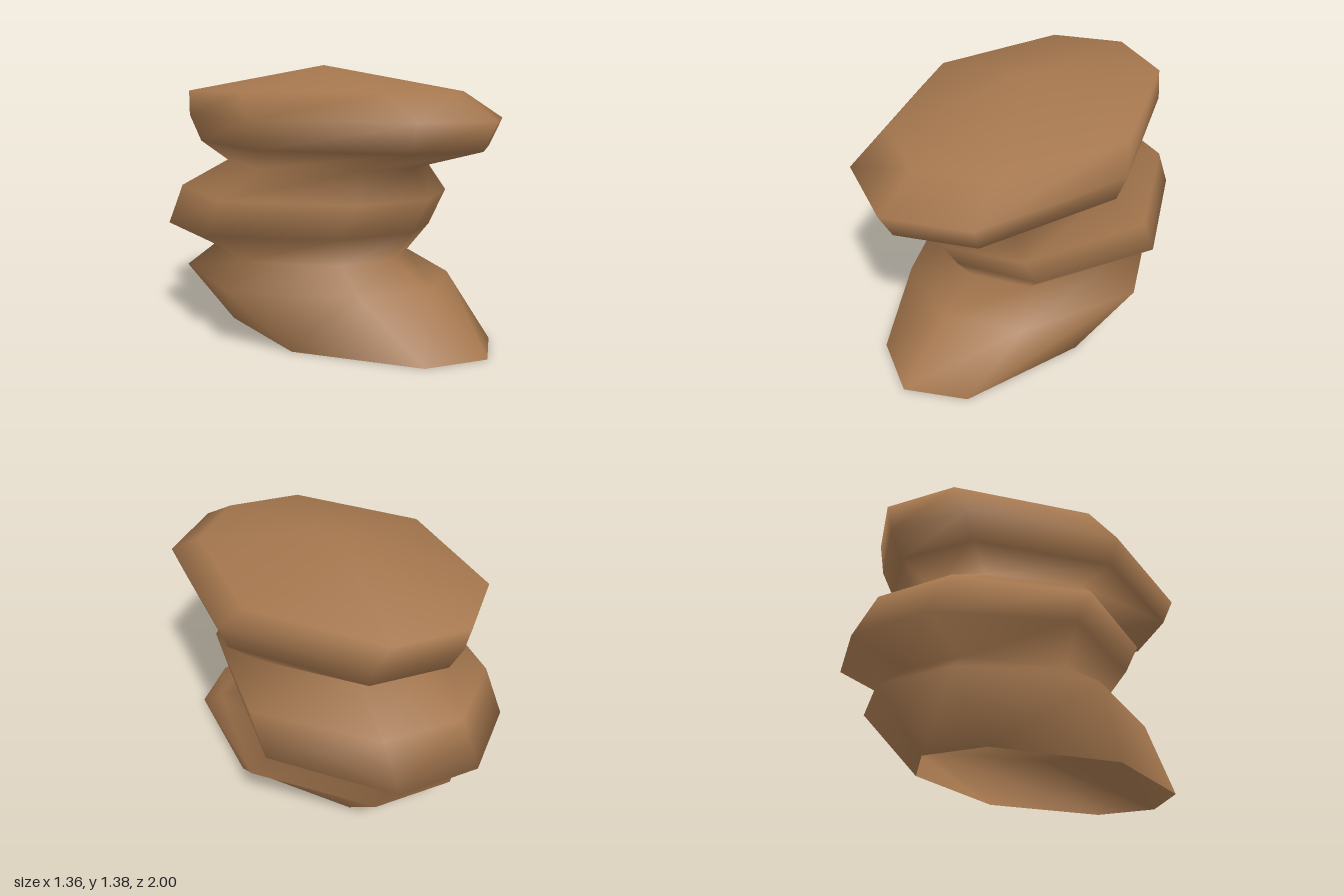
import * as THREE from 'three';

// Rings from the ground up: height, half width, front z, back z
const RINGS = [
  [0.0, 0.51, 0.98, -0.59],
  [0.285, 0.67, 0.66, -0.85],
  [0.4, 0.5, 0.43, -0.7],
  [0.52, 0.682, 0.54, -1.0],
  [0.73, 0.675, 0.64, -0.88],
  [0.88, 0.5, 0.55, -0.58],
  [0.98, 0.62, 0.93, -0.77],
  [1.12, 0.67, 1.0, -0.84],
  [1.25, 0.6, 0.78, -0.87],
];

// Eight-sided unit outline (x, z), counter-clockwise seen from above
const OUTLINE = [
  [0, 1], [0.58, 0.8], [1, 0], [0.58, -0.8],
  [0, -1], [-0.58, -0.8], [-1, 0], [-0.58, 0.8],
];

export function createModel() {
  const stone = new THREE.MeshStandardMaterial({ color: 0xa5774e, side: THREE.DoubleSide });
  stone.name = 'brown stone';

  const n = OUTLINE.length;
  const positions = [];
  const indices = [];
  RINGS.forEach(([y, halfWidth, front, back], r) => {
    const centre = (front + back) / 2;
    const halfDepth = (front - back) / 2;
    for (const [x, z] of OUTLINE) {
      // The widest ledge is slightly tilted
      const tilt = r === 3 ? 0.033 * z - 0.02 * x : 0;
      positions.push(x * halfWidth, y + tilt, centre + z * halfDepth);
    }
  });

  // Side walls, open underneath
  for (let r = 0; r < RINGS.length - 1; r++) {
    for (let i = 0; i < n; i++) {
      const a = r * n + i;
      const b = r * n + (i + 1) % n;
      indices.push(a, b, b + n, a, b + n, a + n);
    }
  }

  // Shallow peaked top
  const apex = positions.length / 3;
  positions.push(0, 1.385, -0.03);
  for (let i = 0; i < n; i++) {
    indices.push(apex - n + i, apex - n + (i + 1) % n, apex);
  }

  const geometry = new THREE.BufferGeometry();
  geometry.setAttribute('position', new THREE.Float32BufferAttribute(positions, 3));
  geometry.setIndex(indices);
  geometry.computeVertexNormals();

  const rock = new THREE.Mesh(geometry, stone);
  rock.name = 'layeredRock';
  const group = new THREE.Group();
  group.name = 'rockStack';
  group.add(rock);
  return group;
}
